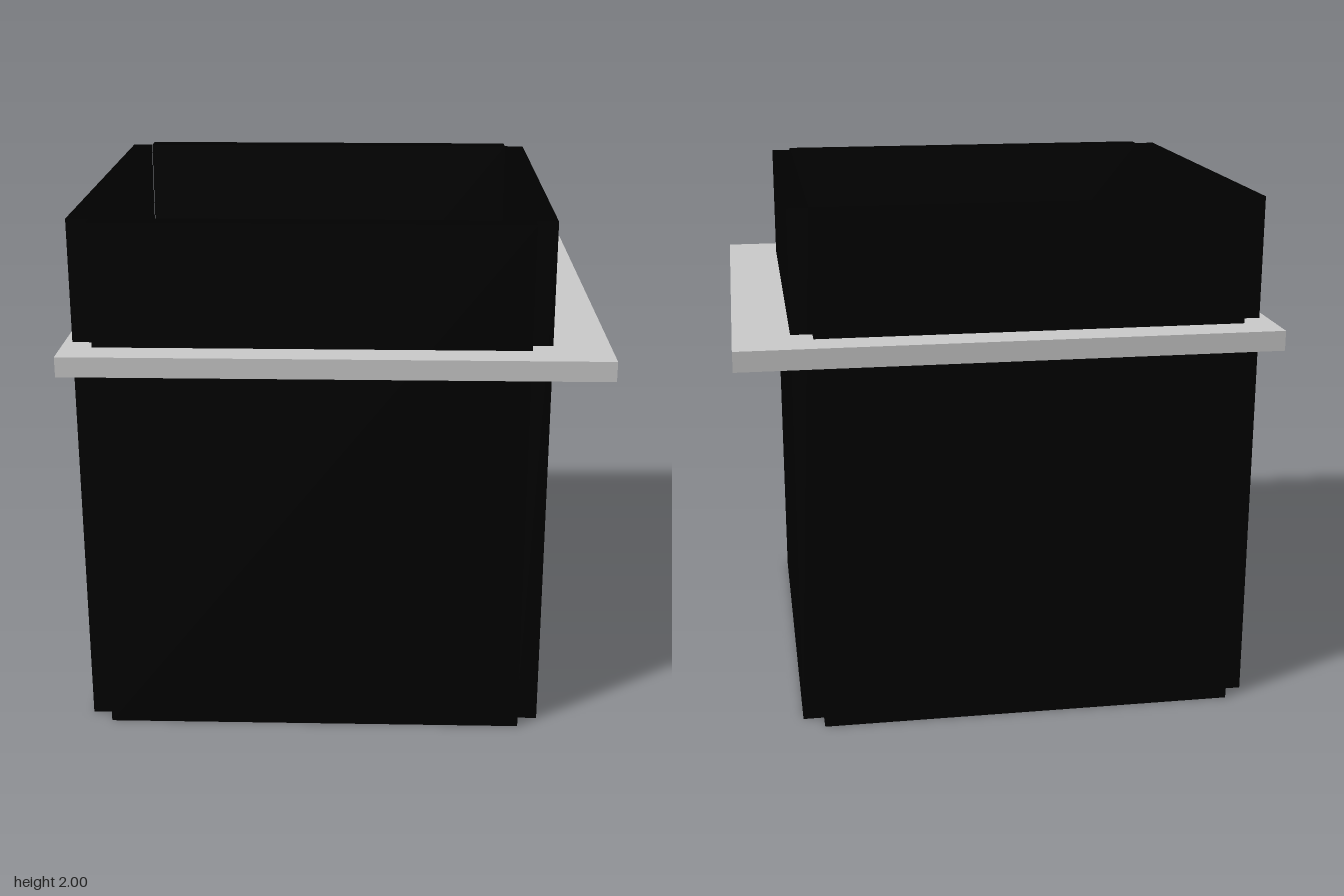
import * as THREE from 'three';

export function createModel() {
  const model = new THREE.Group();
  const grey = new THREE.MeshStandardMaterial({ color: 0xcccccc });
  const black = new THREE.MeshStandardMaterial({ color: 0x000000 });

  // Box given by its lower and upper corners
  function addBox(name, [x0, y0, z0], [x1, y1, z1], material) {
    const mesh = new THREE.Mesh(new THREE.BoxGeometry(x1 - x0, y1 - y0, z1 - z0), material);
    mesh.position.set((x0 + x1) / 2, (y0 + y1) / 2, (z0 + z1) / 2);
    mesh.name = name;
    model.add(mesh);
  }

  // Four upright wall panels, notched at the corners
  addBox('frontWall', [-0.887, 0, 0.796], [0.711, 2, 0.876], black);
  addBox('backWall', [-0.887, 0, -0.864], [0.711, 2, -0.784], black);
  addBox('rightWall', [-0.97, 0, -0.789], [-0.89, 2, 0.811], black);
  addBox('leftWall', [0.711, 0, -0.789], [0.791, 2, 0.811], black);

  // Wide shelf passing through the walls
  addBox('shelf', [-1, 1.465, -1], [1, 1.54, 1], grey);

  // Floor set between the walls
  addBox('floor', [-0.887, 0, -0.784], [0.711, 0.08, 0.796], grey);

  return model;
}
